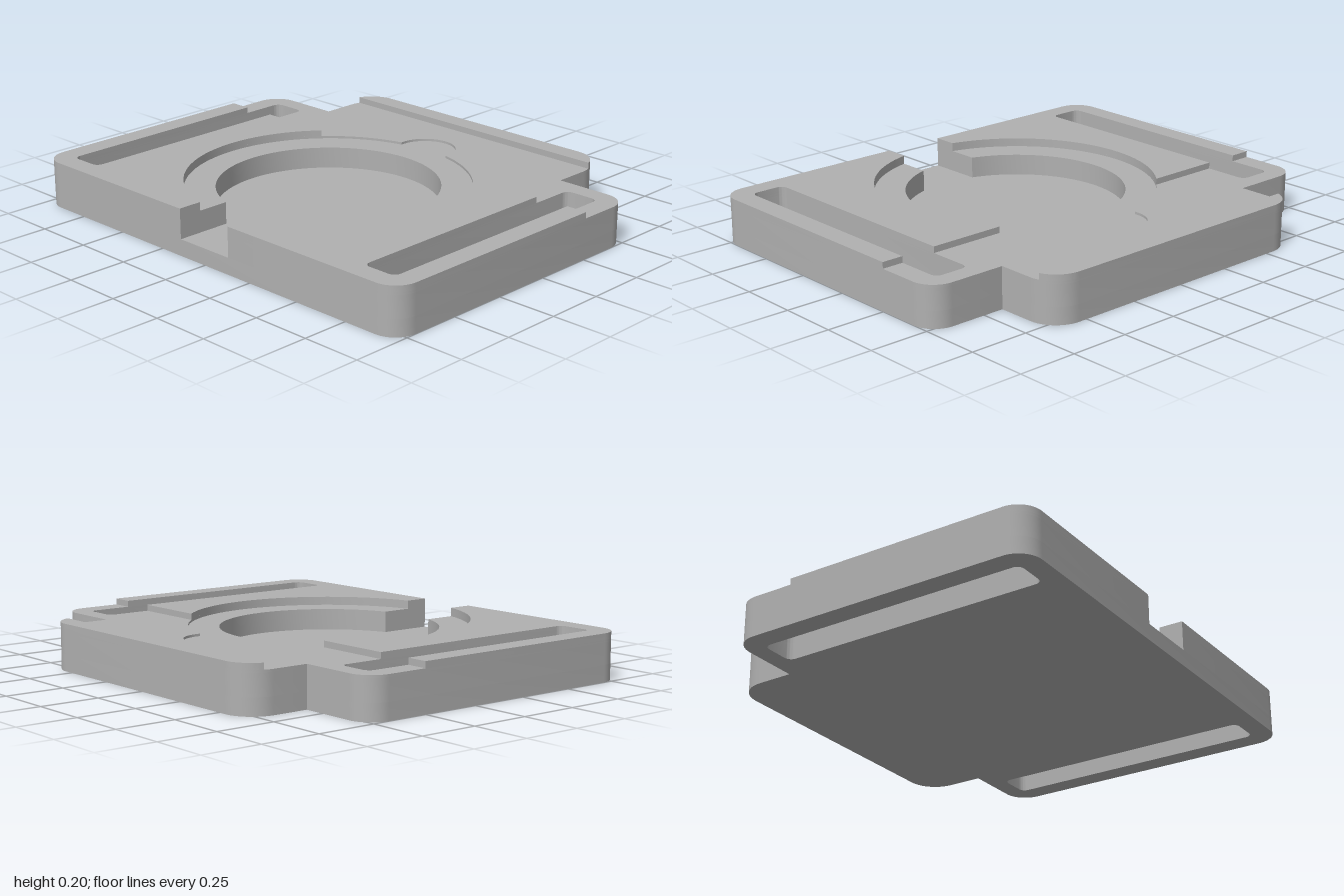
import * as THREE from 'three';
import { toCreasedNormals } from 'three/addons/utils/BufferGeometryUtils.js';

// Plan coordinates are [x, s] with s = -z, so s grows towards the back.
const EDGE = 0.805, WING = 0.527, TAB = 0.663, TAB_R = 0.125;
const STEP = 0.254, LIP = 0.72;              // recessed band between these
const CY = -0.136, R_IN = 0.455, R_OUT = 0.583;
const NOTCH = 0.136, BUMP = 0.126, BUMP_S = 0.449;
const SLOT = { x0: 0.759, x1: 0.909, s0: -0.717, s1: 0.447, r: 0.03 };
// floor, pocket, ledge, recess and top heights
const Y = [0, 0.07, 0.16, 0.17, 0.196];

function arc(cx, cy, r, a0, a1) {
  const n = Math.max(4, Math.ceil(Math.abs(a1 - a0) / (Math.PI / 48)));
  return Array.from({ length: n + 1 }, (_, i) => {
    const a = a0 + (a1 - a0) * i / n;
    return [cx + r * Math.cos(a), cy + r * Math.sin(a)];
  });
}

// Round the right-angled corners that carry a radius as third entry
function fillet(points) {
  const dir = (p, q) => {
    const l = Math.hypot(q[0] - p[0], q[1] - p[1]);
    return [(q[0] - p[0]) / l, (q[1] - p[1]) / l];
  };
  return points.flatMap((p, i) => {
    const r = p[2];
    if (!r) return [p];
    const a = dir(p, points[(i + points.length - 1) % points.length]);
    const b = dir(p, points[(i + 1) % points.length]);
    return Array.from({ length: 13 }, (_, k) => {
      const t = k / 12 * Math.PI / 2, c = 1 - Math.cos(t), s = 1 - Math.sin(t);
      return [p[0] + r * (a[0] * s + b[0] * c), p[1] + r * (a[1] * s + b[1] * c)];
    });
  });
}

const mirror = (points) => points.map(([x, s, r]) => [-x, s, r]).reverse();
const toVectors = (points) => points.map(([x, s]) => new THREE.Vector2(x, s));

export function createModel() {
  const group = new THREE.Group();
  const grey = new THREE.MeshStandardMaterial({ color: 0xb0b0b0 });
  grey.name = 'grey';

  function slab(name, points, y0, y1, holes = []) {
    const shape = new THREE.Shape(toVectors(points));
    shape.holes = holes.map((h) => new THREE.Path(toVectors(h)));
    let geo = new THREE.ExtrudeGeometry(shape, { depth: y1 - y0, bevelEnabled: false });
    geo.rotateX(-Math.PI / 2);
    geo.translate(0, y0, 0);
    geo = toCreasedNormals(geo, 0.4);
    const mesh = new THREE.Mesh(geo, grey);
    mesh.name = name;
    group.add(mesh);
  }

  // Strap slots
  const { x0, x1, s0, s1, r } = SLOT;
  const slot = fillet([[x0, s0, r], [x1, s0, r], [x1, s1, r], [x0, s1, r]]);
  const slots = [slot, mirror(slot)];

  // Plate outline with a back tab; half is on the +x side, front to back
  const half = [[1, -EDGE, 0.1], [1, WING, 0.1], [TAB, WING], [TAB, EDGE, TAB_R]];
  const outline = [...half, ...mirror(half)];
  const notched = fillet([[NOTCH, -EDGE], ...outline, [-NOTCH, -EDGE]]);

  // Round pocket edge, running clockwise from the left to the right of the notch
  const P = Math.PI;
  const from = (R) => -P / 2 - Math.asin(NOTCH / R);
  const to = (R) => -2.5 * P + Math.asin(NOTCH / R);
  const pocket = arc(0, CY, R_IN, from(R_IN), to(R_IN));
  const k = Math.asin(BUMP / R_OUT);
  const keyedPocket = [
    ...arc(0, CY, R_OUT, from(R_OUT), -1.5 * P + k),
    ...arc(0, BUMP_S, BUMP, P, 0),
    ...arc(0, CY, R_OUT, -1.5 * P - k, to(R_OUT)),
  ];

  slab('basePlate', fillet(outline), Y[0], Y[1], slots);
  slab('pocketWall', [...notched, ...pocket], Y[1], Y[2], slots);
  slab('ledgeSurround', [...notched, ...keyedPocket], Y[2], Y[3], slots);

  // Raised front panels either side of the pocket
  const a = Math.asin((STEP - CY) / R_OUT);
  const panel = [
    ...fillet([[NOTCH, -EDGE], [1, -EDGE, 0.1], [1, STEP], [x1, STEP],
      [x1, s0, r], [x0, s0, r], [x0, STEP], [R_OUT * Math.cos(a), STEP]]),
    ...arc(0, CY, R_OUT, a, -P / 2 + Math.asin(NOTCH / R_OUT)).slice(1),
  ];
  slab('leftPanel', panel, Y[3], Y[4]);
  slab('rightPanel', mirror(panel), Y[3], Y[4]);

  // Raised lip along the back of the tab
  const cs = EDGE - TAB_R;
  const corner = arc(TAB - TAB_R, cs, TAB_R, Math.asin((LIP - cs) / TAB_R), P / 2);
  slab('backLip', [...corner, ...mirror(corner)], Y[3], Y[4]);

  return group;
}
